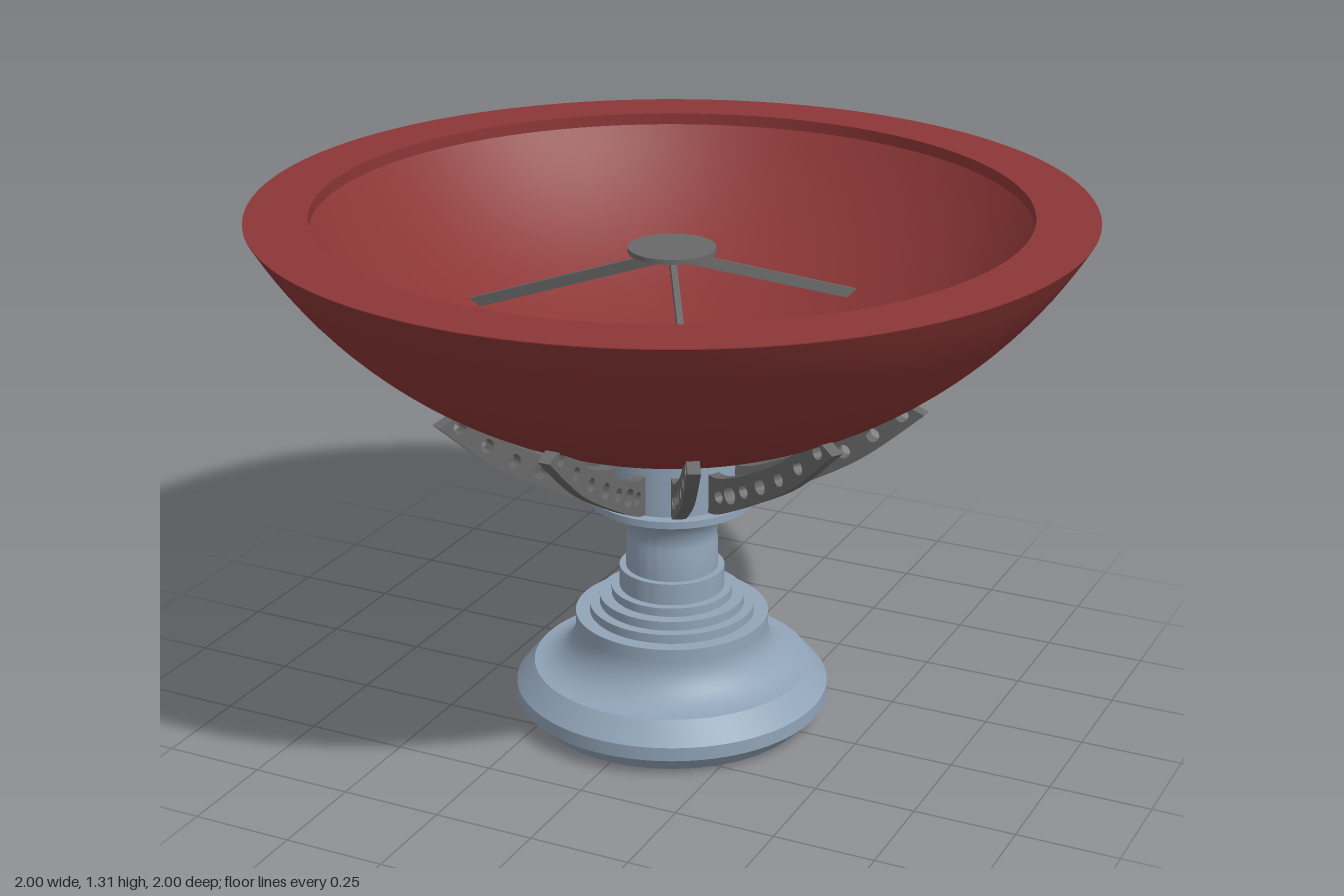
import * as THREE from 'three';
import { toCreasedNormals } from 'three/addons/utils/BufferGeometryUtils.js';

const material = (color) => new THREE.MeshStandardMaterial({ color });
const red = material(0x8c3636), blue = material(0x91a4b8), grey = material(0x696969);

function part(name, geometry, mat) {
  const mesh = new THREE.Mesh(geometry, mat);
  mesh.name = name;
  return mesh;
}

// Turned solid from [radius, height] pairs, keeping hard edges
function turned(name, profile, mat, segments = 96) {
  const points = profile.map(([r, y]) => new THREE.Vector2(r, y));
  return part(name, toCreasedNormals(new THREE.LatheGeometry(points, segments), 0.45), mat);
}

// Points of a quarter ellipse from angle a to b
function arc(cx, cy, rx, ry, a, b, steps = 10) {
  return Array.from({ length: steps + 1 }, (_, i) => {
    const t = a + (b - a) * i / steps;
    return [cx + rx * Math.cos(t), cy + ry * Math.sin(t)];
  });
}

// Bowl: two concentric spherical shells joined by a flat rim and a short lip
const CENTRE = 1.892, OUTER = 1.158, INNER = 1.047;
function shell(radius, edge, steps = 28) {
  const max = Math.asin(edge / radius);
  return Array.from({ length: steps + 1 }, (_, i) => {
    const t = max * i / steps;
    return [radius * Math.sin(t), CENTRE - radius * Math.cos(t)];
  });
}

// Curved bracket with a row of shrinking holes, drawn in the radius/height plane
function ribGeometry() {
  const vec = (list) => list.map(([x, y]) => new THREE.Vector2(x, y));
  const lower = new THREE.SplineCurve(vec([[0.165, 0.59], [0.22, 0.602], [0.34, 0.665], [0.5, 0.762], [0.653, 0.895]]));
  const upper = new THREE.SplineCurve(vec([[0.165, 0.69], [0.22, 0.694], [0.32, 0.737], [0.46, 0.815], [0.59, 0.92]]));
  const shape = new THREE.Shape([...lower.getPoints(20), ...upper.getPoints(20).reverse()]);
  const count = 8;
  for (let i = 0; i < count; i++) {
    const t = 0.13 + 0.81 * i / (count - 1);
    const c = lower.getPoint(t).lerp(upper.getPoint(t), 0.5);
    const radius = i % 2 ? 0.017 : 0.026 - 0.0015 * i;
    shape.holes.push(new THREE.Path().absarc(c.x, c.y, radius, 0, Math.PI * 2, true));
  }
  const geometry = new THREE.ExtrudeGeometry(shape, { depth: 0.03, bevelEnabled: false, curveSegments: 10 });
  return toCreasedNormals(geometry.translate(0, 0, -0.015), 0.7);
}

export function createModel() {
  const model = new THREE.Group();
  model.name = 'dishOnPedestal';

  // Pedestal: foot, stepped rings, neck, flange and hub
  model.add(turned('pedestal', [
    [0, 0], [0.345, 0], [0.39, 0.045], [0.39, 0.08], [0.345, 0.133],
    ...arc(0.345, 0.235, 0.105, 0.102, Math.PI * 1.5, Math.PI),
    [0.24, 0.267], [0.205, 0.267], [0.205, 0.29], [0.18, 0.29], [0.18, 0.313],
    [0.15, 0.313], [0.15, 0.335], [0.13, 0.335], [0.13, 0.39], [0.114, 0.39], [0.114, 0.46],
    ...arc(0.205, 0.475, 0.094, 0.095, Math.PI, Math.PI / 2),
    [0.205, 0.588], [0.177, 0.588], [0.177, 0.765], [0, 0.765],
  ], blue));

  // Dish
  model.add(turned('dish', [
    ...shell(OUTER, 1), [1, 1.31], [0.85, 1.31], ...shell(INNER, 0.85).reverse(),
  ], red, 128));

  // Twelve support ribs around the hub
  const ribs = new THREE.Group();
  ribs.name = 'supportRibs';
  const rib = ribGeometry();
  for (let i = 0; i < 12; i++) {
    const mesh = part('supportRib', rib, grey);
    mesh.rotation.y = i * Math.PI / 6;
    ribs.add(mesh);
  }
  model.add(ribs);

  // Central plate carried by three sloping struts
  const plate = part('centralPlate', new THREE.CylinderGeometry(0.105, 0.105, 0.012, 64), grey);
  plate.position.y = 1.204;
  model.add(plate);
  const rise = 0.2, run = 0.55;
  for (let i = 0; i < 3; i++) {
    const strut = part('plateStrut', new THREE.BoxGeometry(Math.hypot(rise, run), 0.026, 0.015), grey);
    strut.position.set(run / 2, 1.19 - rise / 2, 0);
    strut.rotation.z = -Math.atan2(rise, run);
    const arm = new THREE.Group();
    arm.name = 'strutArm';
    arm.rotation.y = Math.PI + i * Math.PI * 2 / 3;
    arm.add(strut);
    model.add(arm);
  }
  return model;
}
